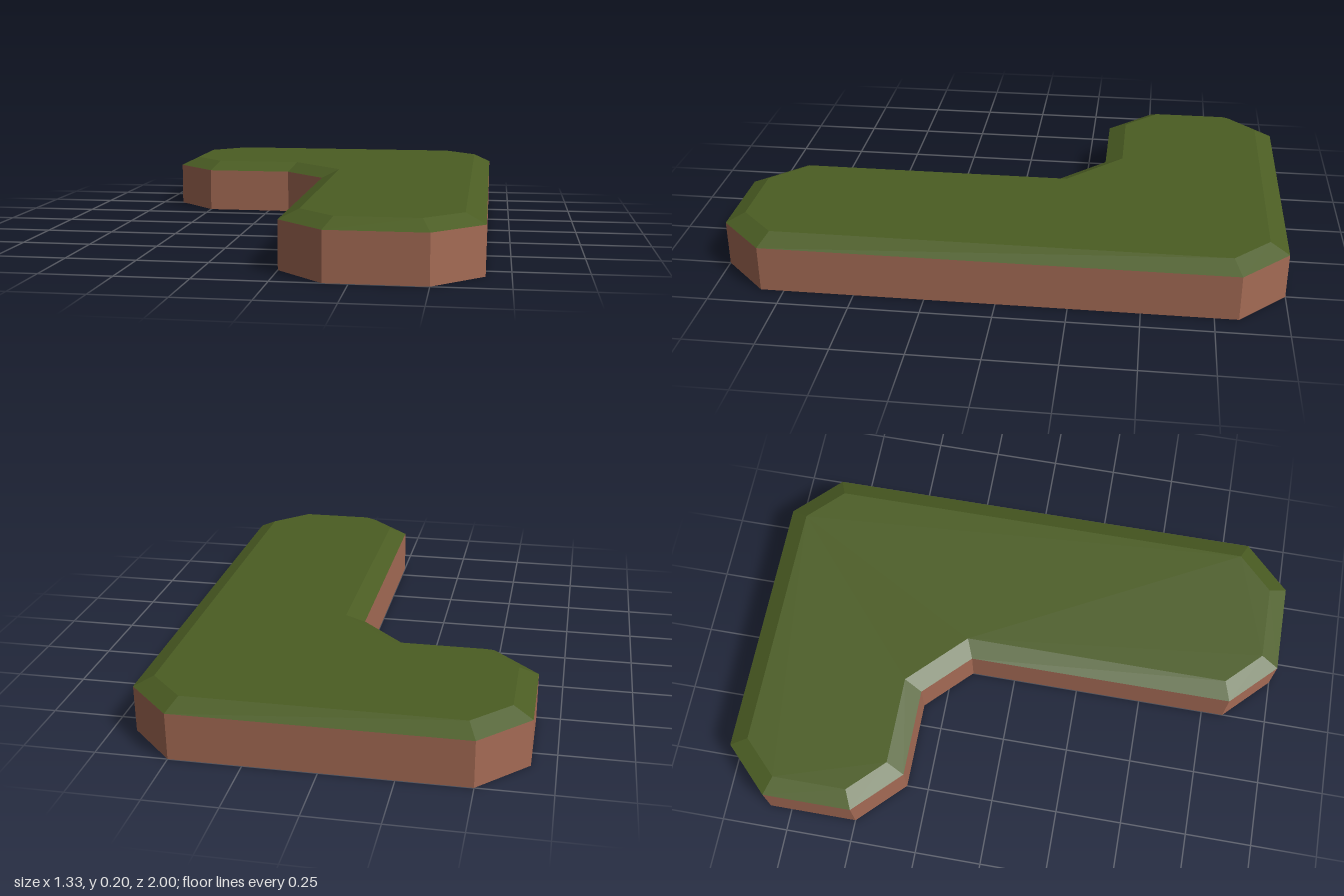
import * as THREE from 'three';

// Plan outline as [x, z], clockwise seen from above
const OUTLINE = [
  [-0.5, -1], [0.5, -1], [0.667, -0.833], [0.667, 0.833], [0.5, 1], [0.167, 1],
  [0, 0.833], [0, -0.167], [-0.167, -0.333], [-0.5, -0.333], [-0.667, -0.5], [-0.667, -0.833],
];
const WALL_TOP = 0.167, TOP = 0.2, INSET = 0.067;

// Move every edge inward by the same distance, with mitred corners
function inset(points, distance) {
  const n = points.length;
  const normal = (a, b) => new THREE.Vector2(a[1] - b[1], b[0] - a[0]).normalize();
  return points.map((p, i) => {
    const n1 = normal(points[(i + n - 1) % n], p);
    const n2 = normal(p, points[(i + 1) % n]);
    const k = distance / (1 + n1.dot(n2));
    return [p[0] + (n1.x + n2.x) * k, p[1] + (n1.y + n2.y) * k];
  });
}

// Flat-shaded band of quads between two outlines
function band(lower, y0, upper, y1) {
  const pos = [];
  lower.forEach((a, i) => {
    const j = (i + 1) % lower.length;
    const la = [a[0], y0, a[1]], lb = [lower[j][0], y0, lower[j][1]];
    const ua = [upper[i][0], y1, upper[i][1]], ub = [upper[j][0], y1, upper[j][1]];
    pos.push(...lb, ...la, ...ua, ...lb, ...ua, ...ub);
  });
  const g = new THREE.BufferGeometry();
  g.setAttribute('position', new THREE.Float32BufferAttribute(pos, 3));
  g.computeVertexNormals();
  return g;
}

export function createModel() {
  const group = new THREE.Group();
  const earth = new THREE.MeshStandardMaterial({ color: 0xa56b55, side: THREE.DoubleSide, flatShading: true });
  earth.name = 'clay brown';
  const grass = new THREE.MeshStandardMaterial({ color: 0x4b5d23, side: THREE.DoubleSide, flatShading: true });
  grass.name = 'moss green';
  const add = (name, geometry, material) => {
    const mesh = new THREE.Mesh(geometry, material);
    mesh.name = name;
    group.add(mesh);
  };

  const inner = inset(OUTLINE, INSET);

  // Upright sides, open underneath
  add('sideWalls', band(OUTLINE, 0, OUTLINE, WALL_TOP), earth);

  // Sloping rim
  add('bevelledRim', band(OUTLINE, WALL_TOP, inner, TOP), grass);

  // Flat top
  const shape = new THREE.Shape(inner.map(([x, z]) => new THREE.Vector2(x, -z)));
  const top = new THREE.ShapeGeometry(shape).rotateX(-Math.PI / 2).translate(0, TOP, 0);
  add('topSurface', top, grass);

  return group;
}
